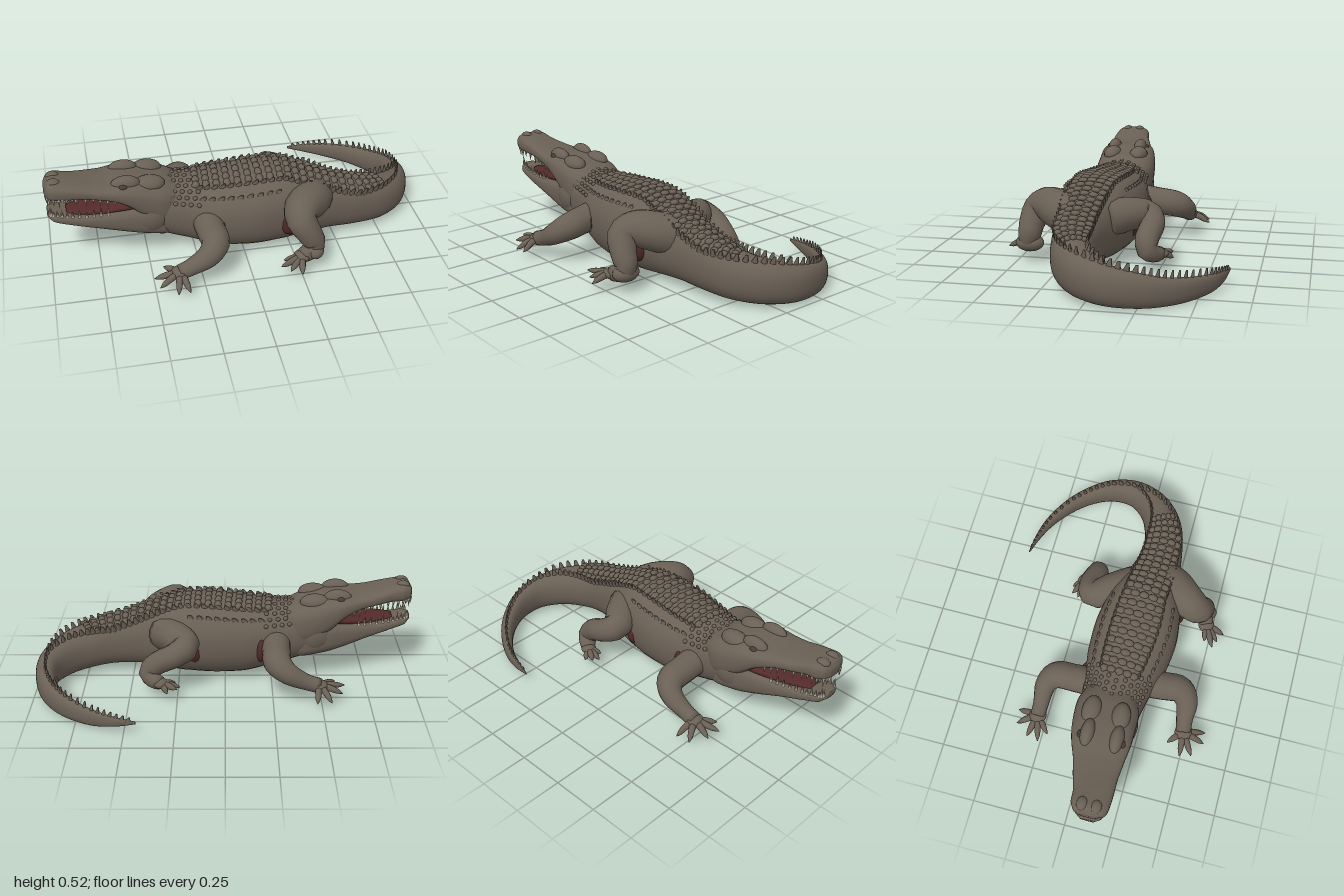
import * as THREE from 'three';
import { mergeGeometries } from 'three/addons/utils/BufferGeometryUtils.js';

const mat = (name, color) => Object.assign(new THREE.MeshStandardMaterial({ color }), { name });
const V = (x, y, z) => new THREE.Vector3(x, y, z);
const UP = V(0, 1, 0);

// Skin over a list of rings, closed at both ends
function loft(rings) {
  const n = rings.length, m = rings[0].length, pos = [], idx = [];
  rings.flat().forEach(p => pos.push(p.x, p.y, p.z));
  for (const r of [rings[0], rings[n - 1]]) {
    const c = r.reduce((s, p) => s.add(p), V(0, 0, 0)).divideScalar(m);
    pos.push(c.x, c.y, c.z);
  }
  for (let j = 0; j < m; j++) {
    const k = (j + 1) % m, e = (n - 1) * m;
    for (let i = 0; i < n - 1; i++) {
      const a = i * m + j, b = i * m + k;
      idx.push(a, b, b + m, a, b + m, a + m);
    }
    idx.push(n * m, k, j, n * m + 1, e + j, e + k);
  }
  const g = new THREE.BufferGeometry();
  g.setAttribute('position', new THREE.Float32BufferAttribute(pos, 3));
  g.setIndex(idx);
  g.computeVertexNormals();
  return g;
}

// Upright trunk from stations [x, z, bottom, top, halfWidth]; e squares the section
function trunk(stations, e) {
  const mid = new THREE.CatmullRomCurve3(stations.map(([x, z, b, t]) => V(x, (b + t) / 2, z)));
  const size = new THREE.CatmullRomCurve3(stations.map(([, , b, t, w]) => V(w, (t - b) / 2, 0)));
  const pw = v => Math.sign(v) * Math.abs(v) ** e;
  const frame = u => {
    const T = mid.getTangent(u).setY(0).normalize();
    return { T, U: T.clone().cross(UP), c: mid.getPoint(u), s: size.getPoint(u) };
  };
  const at = (u, a) => {
    const f = frame(u);
    return f.c.addScaledVector(f.U, pw(Math.sin(a)) * f.s.x).addScaledVector(UP, pw(Math.cos(a)) * f.s.y);
  };
  const geometry = (n, m = 36) => loft(Array.from({ length: n + 1 }, (_, i) =>
    Array.from({ length: m }, (_, j) => at(i / n, j / m * Math.PI * 2))));
  return { frame, at, geometry };
}

// Round limb through points [x, y, z, radius]
function limb(pts, n = 24, m = 16) {
  const path = new THREE.CatmullRomCurve3(pts.map(p => V(p[0], p[1], p[2])));
  const rad = new THREE.CatmullRomCurve3(pts.map((p, i) => V(p[3], i, 0)));
  const f = path.computeFrenetFrames(n);
  return loft(Array.from({ length: n + 1 }, (_, i) => {
    // Frames follow arc length, so the radius uses the matching curve parameter
    const u = path.getUtoTmapping(i / n), c = path.getPoint(u), r = rad.getPoint(u).x;
    return Array.from({ length: m }, (_, j) => {
      const a = j / m * Math.PI * 2;
      return c.clone().addScaledVector(f.binormals[i], Math.sin(a) * r).addScaledVector(f.normals[i], Math.cos(a) * r);
    });
  }));
}

// Ellipsoid without uv, so it merges with lofted parts
const ball = (p, r) => new THREE.SphereGeometry(1, 20, 14).deleteAttribute('uv').scale(...r).translate(...p);

// Unit shapes for repeated details: blunt fin leaning back, low plate, pointed tooth
function fin() {
  const g = new THREE.CylinderGeometry(0.35, 1, 1, 7).translate(0, 0.3, 0), q = g.attributes.position;
  for (let i = 0; i < q.count; i++) q.setX(i, q.getX(i) + 0.6 * q.getY(i));
  return g;
}
const plate = () => new THREE.SphereGeometry(1, 10, 8);
const tooth = () => new THREE.ConeGeometry(1, 1, 6).translate(0, 0.35, 0);

// Size a unit shape and stand it at p, long in T, tall in N
const stand = (g, p, T, N, size) => g.scale(...size)
  .applyMatrix4(new THREE.Matrix4().makeBasis(T, N, T.clone().cross(N)).setPosition(p));

export function createModel() {
  const root = new THREE.Group();
  root.name = 'alligator';
  const skin = mat('brown hide', 0x6a6055), red = mat('dark red flesh', 0x542a2a);
  const ivory = mat('ivory teeth', 0xb5aa95), dark = mat('dark eye', 0x453f36);
  const add = (name, g, m = skin) => {
    const mesh = new THREE.Mesh(Array.isArray(g) ? mergeGeometries(g) : g, m);
    mesh.name = name;
    root.add(mesh);
  };

  // Body and curling tail
  const body = trunk([
    [-0.55, 0.09, 0.17, 0.40, 0.12], [-0.42, 0.085, 0.11, 0.415, 0.155], [-0.28, 0.09, 0.065, 0.41, 0.175],
    [-0.12, 0.1, 0.02, 0.42, 0.213], [0.05, 0.11, 0.008, 0.435, 0.225], [0.22, 0.115, 0.012, 0.435, 0.203],
    [0.35, 0.125, 0.025, 0.395, 0.16], [0.48, 0.13, 0.035, 0.345, 0.125], [0.62, 0.125, 0.03, 0.305, 0.108],
    [0.75, 0.09, 0.02, 0.265, 0.103], [0.86, 0.015, 0.013, 0.235, 0.088], [0.932, -0.11, 0.008, 0.2, 0.065],
    [0.928, -0.25, 0.004, 0.17, 0.05], [0.877, -0.36, 0.003, 0.14, 0.042], [0.79, -0.46, 0.005, 0.12, 0.034],
    [0.66, -0.55, 0.013, 0.1, 0.023], [0.55, -0.592, 0.03, 0.085, 0.014], [0.44, -0.615, 0.055, 0.07, 0.003]], 0.88);
  add('bodyAndTail', body.geometry(110));

  // Back plates in cross rows, crests that join on the tail, and shoulder ridges
  const plates = [], crests = [], ridges = [];
  const last = 17;
  const place = (list, shape, k, a, size) => {
    const { T, U } = body.frame(k / last);
    const N = UP.clone().addScaledVector(U, Math.sin(a) * 0.4).normalize();
    list.push(stand(shape(), body.at(k / last, a), T, N, size));
  };
  const lerp = THREE.MathUtils.mapLinear, clamp = THREE.MathUtils.clamp;
  const spread = k => k < 8 ? clamp(lerp(k, 5, 8, 0.52, 0.95), 0.52, 0.95) : Math.max(0, lerp(k, 8, 11, 0.95, 0));
  for (let k = 2.3; k < 9.2; k += 0.32) {
    const gap = spread(k) / 2.7;
    const wide = gap * body.frame(k / last).s.x * 0.68;
    for (let c = -2; c <= 2; c++) place(plates, plate, k, c * gap, [0.019, 0.015, wide]);
  }
  for (let k = 2.4; k < 16.8; k += k < 9 ? 0.24 : 0.28) {
    const a = spread(k), h = k < 6 ? 0.026 : 0.042 * Math.min(1, (18.5 - k) / 4);
    for (const s of a > 0.02 ? [-1, 1] : [0]) place(crests, fin, k, s * a, [k < 12 ? 0.019 : 0.013, h, 0.009]);
  }
  for (let k = 2.5; k < 5; k += 0.28) {
    for (const s of [-1, 1]) place(ridges, fin, k, s * 0.85, [0.018, 0.018, 0.012]);
  }
  add('backPlates', plates);
  add('tailCrests', crests);
  add('shoulderRidges', ridges);

  // Neck pebbles
  const pebbles = [];
  for (let r = 0; r < 5; r++) {
    for (let c = -5; c <= 5; c++) {
      const p = body.at((1.15 + r * 0.27 + (c & 1) * 0.12) / last, c * 0.21);
      pebbles.push(ball([p.x, p.y, p.z], [0.012, 0.011, 0.011]));
    }
  }
  add('neckPebbles', pebbles);

  // Skull with upper jaw, and lower jaw
  const upper = trunk([
    [-1, 0.13, 0.43, 0.475, 0.035], [-0.985, 0.13, 0.418, 0.5, 0.075], [-0.95, 0.132, 0.408, 0.512, 0.095],
    [-0.88, 0.132, 0.405, 0.498, 0.1], [-0.78, 0.118, 0.395, 0.475, 0.115], [-0.7, 0.11, 0.378, 0.465, 0.13],
    [-0.62, 0.1, 0.34, 0.468, 0.15], [-0.52, 0.088, 0.25, 0.462, 0.162], [-0.42, 0.083, 0.2, 0.44, 0.164],
    [-0.32, 0.085, 0.2, 0.4, 0.13]], 0.7);
  const lower = trunk([
    [-0.995, 0.128, 0.295, 0.325, 0.035], [-0.965, 0.128, 0.272, 0.325, 0.072], [-0.88, 0.125, 0.245, 0.312, 0.088],
    [-0.75, 0.115, 0.205, 0.312, 0.108], [-0.62, 0.1, 0.162, 0.33, 0.132], [-0.52, 0.09, 0.137, 0.34, 0.15],
    [-0.42, 0.085, 0.12, 0.3, 0.15], [-0.33, 0.088, 0.12, 0.25, 0.11]], 0.7);
  add('skullAndUpperJaw', upper.geometry(50));
  add('lowerJaw', lower.geometry(50));
  add('mouthFloor', trunk([[-0.9, 0.125, 0.29, 0.32, 0.04], [-0.84, 0.125, 0.29, 0.326, 0.062],
    [-0.74, 0.115, 0.29, 0.33, 0.085], [-0.62, 0.1, 0.3, 0.355, 0.118], [-0.54, 0.09, 0.31, 0.36, 0.13]], 0.8).geometry(20), red);
  add('palate', trunk([[-0.92, 0.125, 0.405, 0.43, 0.045], [-0.8, 0.12, 0.388, 0.42, 0.07],
    [-0.68, 0.108, 0.365, 0.4, 0.095], [-0.57, 0.095, 0.3, 0.38, 0.13]], 0.8).geometry(20), red);

  // Teeth along both jaw edges
  const teeth = [];
  for (let i = 0; i < 12; i++) {
    const size = 0.044 + 0.014 * Math.sin(i * 2.1);
    for (const s of [-1, 1]) {
      for (const [jaw, dir, a, end] of [[upper, -1, 2.3, 0.6], [lower, 1, 0.85, 0.48]]) {
        const p = jaw.at(0.07 + i / 11 * (end - 0.07), s * a);
        teeth.push(stand(tooth(), p, V(1, 0, 0), V(0, dir, 0), [0.009, size, 0.009]));
      }
    }
  }
  add('teeth', teeth, ivory);

  // Paired bumps of the head: brows, eyes, nostrils, skull corners, cheeks
  for (const s of [-1, 1]) {
    const side = s > 0 ? 'left' : 'right';
    add(side + 'Brow', ball([-0.595, 0.452, 0.1 + s * 0.075], [0.075, 0.046, 0.036]));
    add(side + 'Eye', ball([-0.61, 0.452, 0.1 + s * 0.108], [0.022, 0.016, 0.016]), dark);
    add(side + 'Nostril', ball([-0.95, 0.495, 0.132 + s * 0.035], [0.036, 0.025, 0.03]));
    add(side + 'SkullCorner', ball([-0.475, 0.432, 0.088 + s * 0.075], [0.08, 0.045, 0.05]));
    add(side + 'Cheek', ball([-0.47, 0.26, 0.088 + s * 0.1], [0.1, 0.1, 0.065]));
  }

  // Legs with spread, pointed toes
  function leg(name, pts, tips) {
    const [x, y, z, r] = pts[pts.length - 1];
    const parts = [limb(pts), ball([x, y, z], [r * 1.15, r * 0.75, r * 1.15])];
    for (const [a, b, c] of tips) {
      parts.push(limb([[x, y, z, 0.019], [x + (a - x) * 0.5, y + (b - y) * 0.3, z + (c - z) * 0.5, 0.017],
        [x + (a - x) * 0.78, y + (b - y) * 0.7, z + (c - z) * 0.78, 0.013], [a, b, c, 0.002]], 10, 10));
    }
    add(name, parts);
  }
  leg('rightFrontLeg', [[-0.27, 0.23, 0.0, 0.08], [-0.268, 0.215, -0.14, 0.074], [-0.272, 0.2, -0.24, 0.072],
    [-0.32, 0.165, -0.285, 0.058], [-0.42, 0.115, -0.29, 0.042], [-0.485, 0.095, -0.29, 0.04]],
  [[-0.57, 0.085, -0.215], [-0.62, 0.08, -0.255], [-0.605, 0.065, -0.32], [-0.545, 0.05, -0.395], [-0.47, 0.05, -0.405]]);
  leg('leftFrontLeg', [[-0.2, 0.23, 0.19, 0.08], [-0.19, 0.215, 0.32, 0.075], [-0.182, 0.2, 0.415, 0.072],
    [-0.225, 0.165, 0.463, 0.06], [-0.31, 0.118, 0.475, 0.045], [-0.375, 0.098, 0.485, 0.04]],
  [[-0.45, 0.09, 0.415], [-0.505, 0.085, 0.495], [-0.485, 0.07, 0.555], [-0.4, 0.055, 0.605], [-0.34, 0.055, 0.6]]);
  leg('leftHindLeg', [[0.4, 0.25, 0.16, 0.1], [0.35, 0.285, 0.25, 0.102], [0.28, 0.3, 0.34, 0.092], [0.26, 0.275, 0.395, 0.08],
    [0.3, 0.2, 0.425, 0.066], [0.328, 0.135, 0.43, 0.057], [0.3, 0.1, 0.445, 0.047], [0.255, 0.09, 0.465, 0.038]],
  [[0.135, 0.085, 0.525], [0.18, 0.065, 0.545], [0.235, 0.055, 0.57], [0.16, 0.085, 0.475]]);
  add('leftHindHeel', ball([0.325, 0.105, 0.43], [0.052, 0.046, 0.075]));
  leg('rightHindLeg', [[0.32, 0.25, 0.03, 0.1], [0.26, 0.265, -0.07, 0.088], [0.205, 0.255, -0.165, 0.073], [0.26, 0.225, -0.2, 0.064],
    [0.36, 0.17, -0.19, 0.06], [0.4, 0.125, -0.195, 0.054], [0.37, 0.095, -0.23, 0.044], [0.335, 0.09, -0.255, 0.035]],
  [[0.25, 0.08, -0.305], [0.235, 0.075, -0.27], [0.3, 0.06, -0.315], [0.26, 0.085, -0.235]]);

  // Red flesh in the folds beside the legs
  [[-0.125, 0.215, 0.262, 0.03, 0.065], [-0.19, 0.2, -0.06, 0.032, 0.08], [0.235, 0.195, 0.28, 0.065, 0.09],
    [0.16, 0.19, -0.05, 0.05, 0.08]]
    .forEach(([x, y, z, r, h]) => add('legFold', ball([x, y, z], [r, h, 0.06]), red));
  return root;
}
